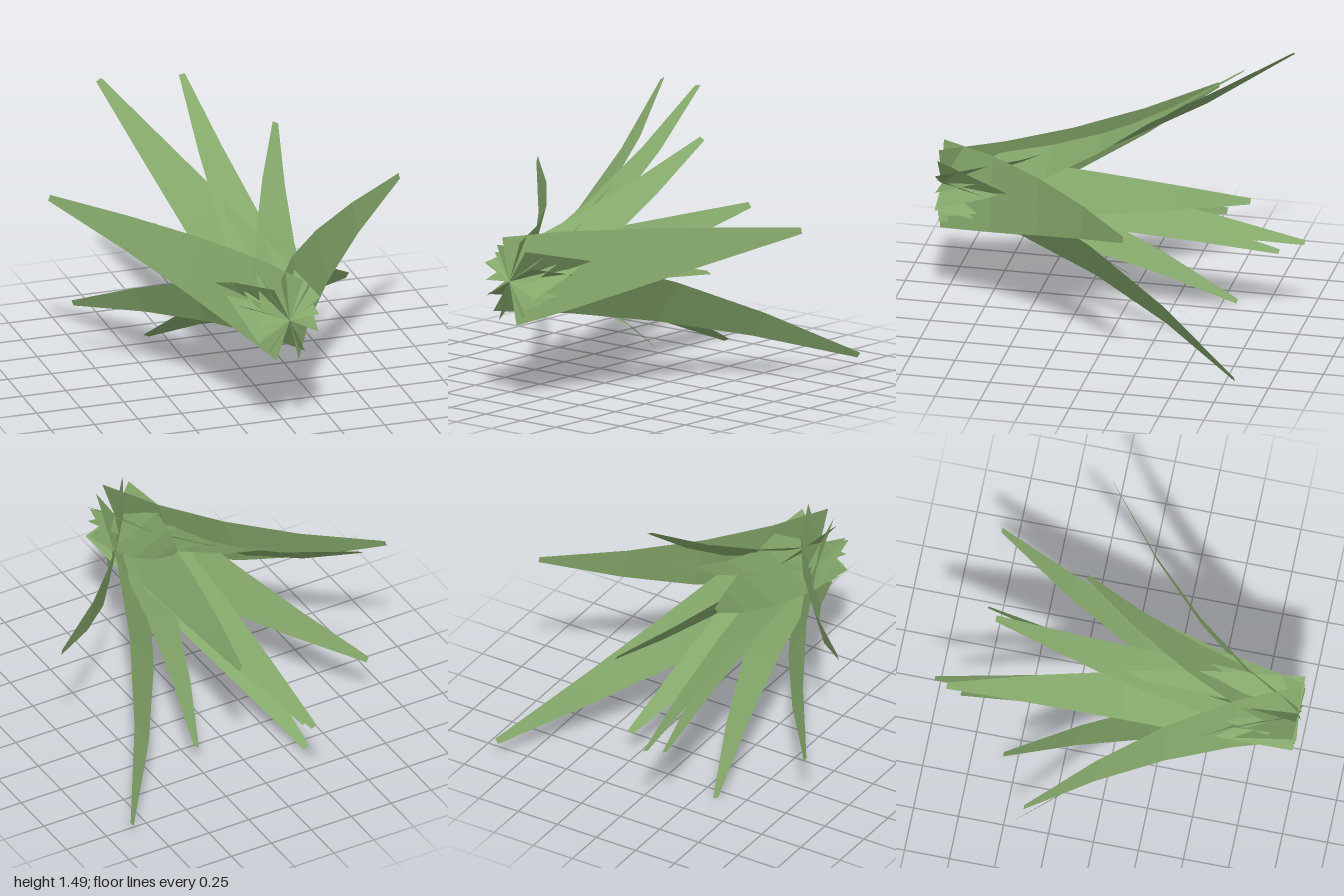
import * as THREE from 'three';

const leafGreen = new THREE.MeshStandardMaterial({ color: 0x84a76a, side: THREE.DoubleSide, flatShading: true });
leafGreen.name = 'leaf green';

const ROOT = new THREE.Vector3(-0.045, 0.693, 1);
const SEGMENTS = 4;

// One flat blade: a tapering strip that curves away from the root axis to its tip.
function bladeGeometry(tipX, tipY, tipZ, rootWidth) {
  const dx = tipX - ROOT.x, dy = tipY - ROOT.y, reach = Math.hypot(dx, dy);
  const sideX = -dy / reach, sideY = dx / reach; // across the blade
  const points = [], index = [];
  for (let i = 0; i <= SEGMENTS; i++) {
    const t = i / SEGMENTS;
    const bend = 0.5 * t + 0.5 * t * t;
    const half = THREE.MathUtils.lerp(rootWidth, 0.035, Math.pow(t, 1.4)) / 2;
    const x = ROOT.x + dx * bend, y = ROOT.y + dy * bend;
    const z = THREE.MathUtils.lerp(ROOT.z, tipZ, t);
    points.push(x - sideX * half, y - sideY * half, z, x + sideX * half, y + sideY * half, z);
    if (i < SEGMENTS) {
      const a = i * 2;
      index.push(a, a + 1, a + 2, a + 1, a + 3, a + 2);
    }
  }
  const geometry = new THREE.BufferGeometry();
  geometry.setAttribute('position', new THREE.Float32BufferAttribute(points, 3));
  geometry.setIndex(index);
  const flat = geometry.toNonIndexed();
  flat.computeVertexNormals();
  return flat;
}

// Tip x, y, z and width at the root
const blades = [
  [-0.53, 1.435, -0.86, 0.42],
  [-0.115, 1.49, -0.67, 0.34],
  [0.28, 1.325, -0.24, 0.37],
  [0.99, 0.915, -0.24, 0.49],
  [0.89, 0.1, -0.84, 0.43],
  [0.27, 0.16, -0.46, 0.36],
  [-0.35, 0.01, -0.58, 0.4],
  [-0.825, 0.33, -0.42, 0.42],
  [-0.985, 1.005, -0.34, 0.48],
  [-0.16, 0.48, -1, 0.38],
  [-0.19, 0.4, -0.85, 0.36],
  [0.17, 0.845, -0.77, 0.36],
];

export function createModel() {
  const clump = new THREE.Group();
  clump.name = 'grassClump';
  blades.forEach((blade, i) => {
    const mesh = new THREE.Mesh(bladeGeometry(...blade), leafGreen);
    mesh.name = `blade${i + 1}`;
    clump.add(mesh);
  });
  return clump;
}
